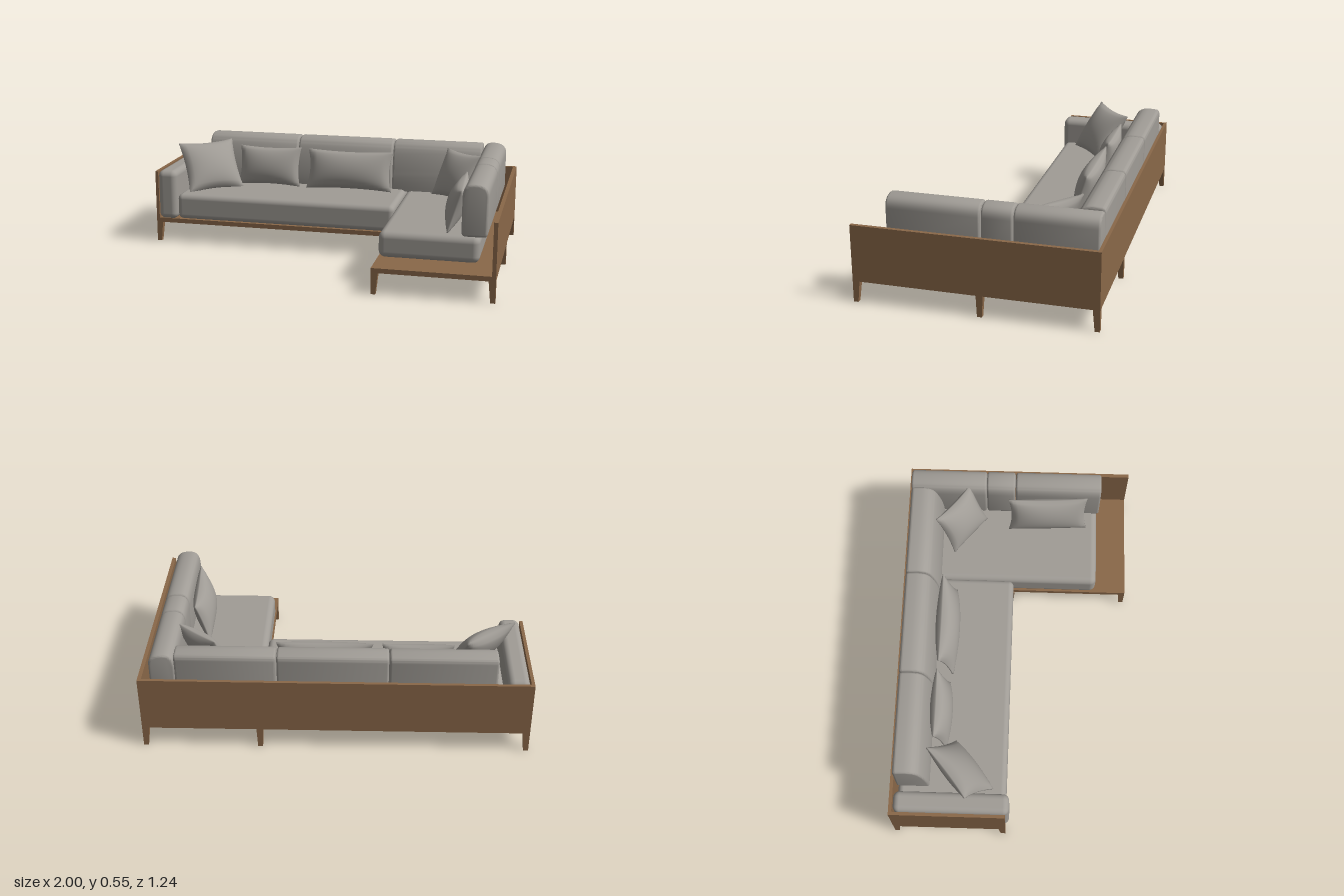
import * as THREE from 'three';
import { mergeVertices, toCreasedNormals } from 'three/addons/utils/BufferGeometryUtils.js';
import { RoundedBoxGeometry } from 'three/addons/geometries/RoundedBoxGeometry.js';

export function createModel() {
  const model = new THREE.Group();
  model.name = 'cornerSofa';
  const wood = new THREE.MeshStandardMaterial({ color: 0x8a6849 });
  wood.name = 'wood';
  const fabric = new THREE.MeshStandardMaterial({ color: 0xa09c96 });
  fabric.name = 'greyFabric';

  const add = (name, geometry, material) => {
    const mesh = new THREE.Mesh(geometry, material);
    mesh.name = name;
    model.add(mesh);
    return mesh;
  };

  // Box given by its limits, with optional rounded edges
  const block = (name, material, [x0, x1], [y0, y1], [z0, z1], radius = 0) => {
    const size = [x1 - x0, y1 - y0, z1 - z0];
    const geo = radius ? new RoundedBoxGeometry(...size, 4, radius) : new THREE.BoxGeometry(...size);
    add(name, geo, material).position.set((x0 + x1) / 2, (y0 + y1) / 2, (z0 + z1) / 2);
  };

  // L-shaped base deck
  const deck = new THREE.Shape([
    [-1, 0.62], [-1, 0.02], [0.38, 0.02], [0.38, -0.62], [1, -0.62], [1, 0.62],
  ].map(([x, y]) => new THREE.Vector2(x, y)));
  const deckGeo = new THREE.ExtrudeGeometry(deck, { depth: 0.025, bevelEnabled: false });
  deckGeo.rotateX(-Math.PI / 2).translate(0, 0.112, 0);
  add('baseDeck', deckGeo, wood);

  // Upright panels
  block('backPanel', wood, [-1, 1], [0.112, 0.41], [-0.62, -0.603]);
  block('leftPanel', wood, [-1, -0.983], [0.112, 0.41], [-0.62, -0.02]);
  block('rightPanel', wood, [0.98, 1], [0.112, 0.41], [-0.62, 0.62]);

  // Tapered legs; sx and sz tell which outer faces stay flush and vertical
  const leg = (x, z, sx, sz) => {
    const geo = new THREE.BoxGeometry(0.036, 0.116, 0.036);
    const p = geo.attributes.position;
    for (let i = 0; i < p.count; i++) {
      if (p.getY(i) > 0) continue;
      p.setX(i, p.getX(i) * 0.68 + sx * 0.0058);
      p.setZ(i, p.getZ(i) * 0.68 + sz * 0.0058);
    }
    geo.computeVertexNormals();
    add('leg', geo, wood).position.set(x - sx * 0.018, 0.058, z - sz * 0.018);
  };
  leg(-1, -0.62, -1, -1);
  leg(-1, -0.02, -1, 1);
  leg(0.39, -0.62, 0, -1);
  leg(0.39, -0.03, 0, 0);
  leg(1, -0.62, 1, -1);
  leg(1, -0.03, 1, 0);
  leg(0.38, 0.62, -1, 1);
  leg(1, 0.62, 1, 1);

  // Seat cushions and arm
  block('mainSeatCushion', fabric, [-0.872, 0.382], [0.137, 0.282], [-0.59, -0.017], 0.03);
  block('chaiseSeatCushion', fabric, [0.382, 0.9], [0.137, 0.275], [-0.59, 0.448], 0.035);
  block('armCushion', fabric, [-0.98, -0.87], [0.137, 0.418], [-0.6, 0.0], 0.033);

  // Back cushions: a side profile (depth, height) drawn out along the length
  const profiles = {
    back: (s) => {
      s.moveTo(0, 0.27);
      s.lineTo(0.175, 0.27);
      s.bezierCurveTo(0.18, 0.35, 0.16, 0.45, 0.14, 0.5);
      s.bezierCurveTo(0.125, 0.54, 0.1, 0.553, 0.06, 0.553);
      s.lineTo(0.02, 0.55);
      s.quadraticCurveTo(0, 0.548, 0, 0.52);
    },
    side: (s) => {
      s.moveTo(0.025, 0.28);
      s.lineTo(0.11, 0.28);
      s.quadraticCurveTo(0.13, 0.28, 0.132, 0.3);
      s.lineTo(0.132, 0.48);
      s.bezierCurveTo(0.13, 0.53, 0.115, 0.55, 0.075, 0.551);
      s.bezierCurveTo(0.02, 0.551, 0, 0.53, 0, 0.49);
      s.lineTo(0, 0.305);
      s.quadraticCurveTo(0, 0.28, 0.025, 0.28);
    },
  };
  const bolster = (name, kind, a, b) => {
    const shape = new THREE.Shape();
    profiles[kind](shape);
    const bevel = 0.012;
    const depth = b - a - 2 * bevel;
    let geo = new THREE.ExtrudeGeometry(shape, {
      depth, curveSegments: 10, bevelThickness: bevel, bevelSize: bevel, bevelOffset: -bevel, bevelSegments: 3,
    });
    geo.translate(0, 0, -depth / 2);
    geo = toCreasedNormals(geo, 0.7);
    const mid = (a + b) / 2;
    if (kind === 'back') geo.rotateY(-Math.PI / 2).translate(mid, 0, -0.6);
    else geo.rotateY(Math.PI).translate(0.938, 0, mid);
    add(name, geo, fabric);
  };
  [[-0.815, -0.272], [-0.268, 0.295], [0.299, 0.81]].forEach(([a, b]) => bolster('backCushion', 'back', a, b));
  [[-0.6, -0.182], [-0.18, -0.022], [-0.018, 0.458]].forEach(([a, b]) => bolster('sideCushion', 'side', a, b));

  // Loose pillow: puffed centre, thin rim, edges drawn in between the corners
  const pillow = (name, w, h, t, position, yaw, tilt) => {
    let geo = new THREE.BoxGeometry(2, 2, 2, 20, 20, 1);
    geo.deleteAttribute('uv');
    geo.deleteAttribute('normal');
    geo = mergeVertices(geo);
    const p = geo.attributes.position;
    for (let i = 0; i < p.count; i++) {
      const u = p.getX(i), v = p.getY(i);
      const fu = 1 - u * u, fv = 1 - v * v;
      p.setXYZ(i,
        (w / 2) * u * (1 - 0.07 * fv),
        (h / 2) * v * (1 - 0.09 * fu),
        p.getZ(i) * (0.004 + (t / 2) * Math.pow(Math.max(fu * fv, 0), 0.55)));
    }
    geo.computeVertexNormals();
    const mesh = add(name, geo, fabric);
    mesh.position.set(...position);
    mesh.rotation.set(-tilt, yaw, 0, 'YXZ');
  };
  pillow('leftSquarePillow', 0.33, 0.31, 0.12, [-0.745, 0.405, -0.26], 0.68, 0.6);
  pillow('leftLumbarPillow', 0.37, 0.23, 0.1, [-0.42, 0.395, -0.375], 0, 0.25);
  pillow('middleLumbarPillow', 0.5, 0.23, 0.11, [0.06, 0.395, -0.365], 0, 0.3);
  pillow('cornerSquarePillow', 0.28, 0.28, 0.1, [0.69, 0.41, -0.315], -0.68, 0.45);
  pillow('chaiseLumbarPillow', 0.44, 0.23, 0.1, [0.75, 0.385, 0.165], -1.52, 0.3);

  return model;
}
